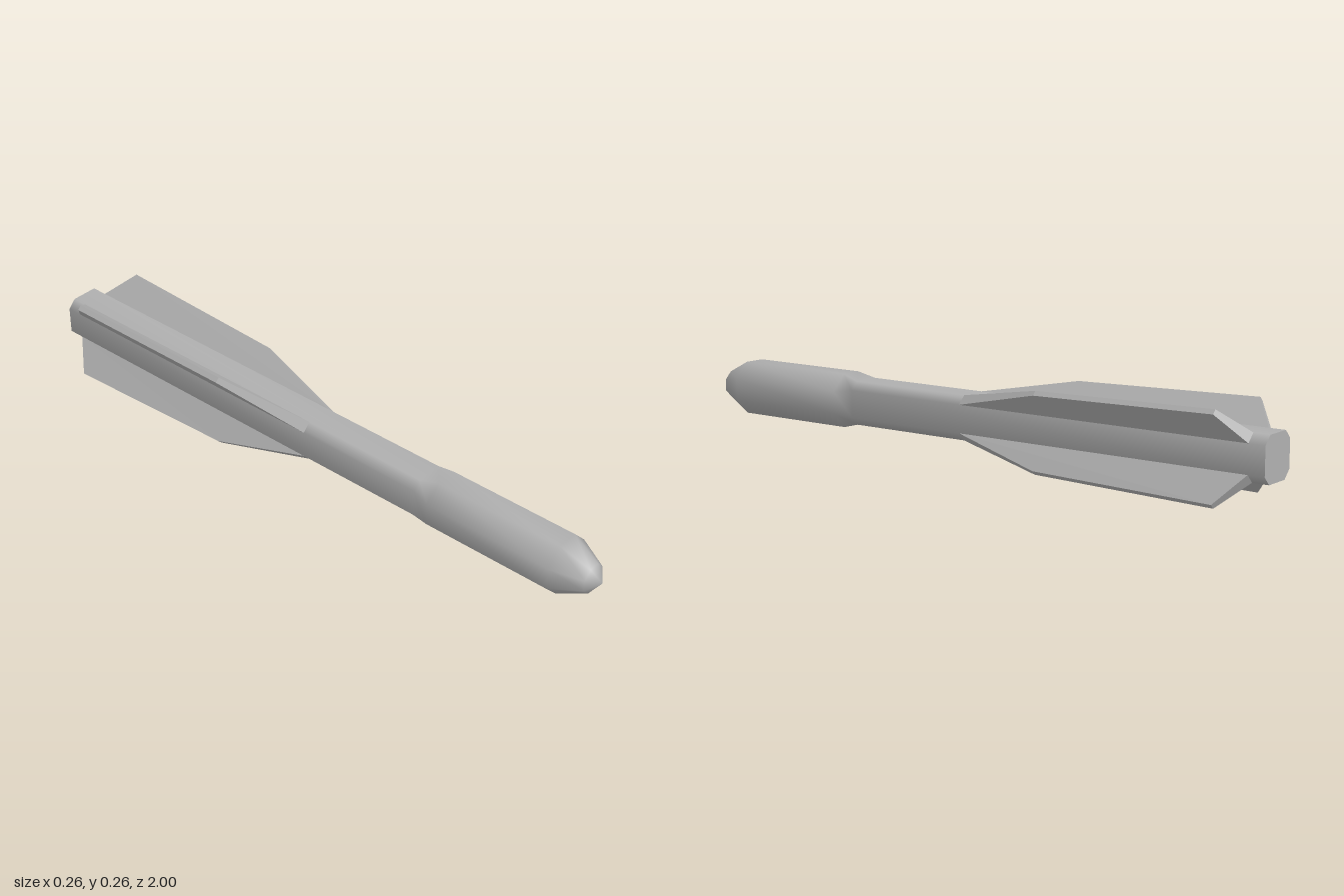
import * as THREE from 'three';

const AXIS_Y = 0.133;

// eight-sided section: flats at distance a, each flat b wide either side of its middle
const octagon = (a, b) => [
  [a, -b], [a, b], [b, a], [-b, a], [-a, b], [-a, -b], [-b, -a], [b, -a],
];

// smooth tube through sections [z, a, b], closed by a point at the nose
function bodyGeometry(sections, tipZ) {
  const pos = [], index = [];
  for (const [z, a, b] of sections) for (const [x, y] of octagon(a, b)) pos.push(x, y, z);
  const tip = sections.length * 8;
  pos.push(0, 0, tipZ);
  for (let i = 0; i < sections.length; i++) {
    for (let j = 0; j < 8; j++) {
      const p = i * 8 + j, q = i * 8 + (j + 1) % 8;
      if (i === sections.length - 1) index.push(p, q, tip);
      else index.push(p, q, q + 8, p, q + 8, p + 8);
    }
  }
  const g = new THREE.BufferGeometry();
  g.setAttribute('position', new THREE.Float32BufferAttribute(pos, 3));
  g.setIndex(index);
  g.computeVertexNormals();
  return g;
}

// tapered fin from outline points [z, radius, half thickness]; radius runs along x
function finGeometry(outline) {
  const pos = [];
  const corner = (i, side) => [outline[i][1], side * outline[i][2], outline[i][0]];
  const quad = (a, b, c, d) => pos.push(...a, ...b, ...c, ...a, ...c, ...d);
  quad(...[0, 1, 2, 3].map((i) => corner(i, 1)));
  quad(...[3, 2, 1, 0].map((i) => corner(i, -1)));
  for (let i = 0; i < 3; i++) {
    quad(corner(i, 1), corner(i, -1), corner(i + 1, -1), corner(i + 1, 1));
  }
  const g = new THREE.BufferGeometry();
  g.setAttribute('position', new THREE.Float32BufferAttribute(pos, 3));
  g.computeVertexNormals();
  return g;
}

export function createModel() {
  const model = new THREE.Group();
  model.name = 'finnedRocket';
  const grey = new THREE.MeshStandardMaterial({ color: 0xb0b0b0 });
  grey.name = 'grey';

  const add = (name, geometry) => {
    const mesh = new THREE.Mesh(geometry, grey);
    mesh.name = name;
    mesh.position.y = AXIS_Y;
    model.add(mesh);
    return mesh;
  };

  // slim tail tube, wider warhead and blunt nose
  add('body', bodyGeometry([
    [-1, 0.067, 0.042],
    [0.41, 0.067, 0.042],
    [0.47, 0.0825, 0.034],
    [0.88, 0.0825, 0.034],
    [0.97, 0.041, 0.017],
  ], 1));

  // flat tail end
  const capShape = new THREE.Shape(octagon(0.067, 0.042).map(([x, y]) => new THREE.Vector2(x, y)));
  const cap = add('tailCap', new THREE.ShapeGeometry(capShape));
  cap.position.z = -1;
  cap.rotation.y = Math.PI;

  // four diagonal fins, each growing out of a narrow face of the tube
  const fin = finGeometry([
    [0, 0.077, 0.0177],
    [-0.3, 0.16, 0.0085],
    [-0.88, 0.178, 0.0085],
    [-0.95, 0.077, 0.0177],
  ]);
  ['upperLeftFin', 'upperRightFin', 'lowerRightFin', 'lowerLeftFin'].forEach((name, i) => {
    add(name, fin).rotation.z = Math.PI / 4 + i * Math.PI / 2;
  });

  return model;
}
